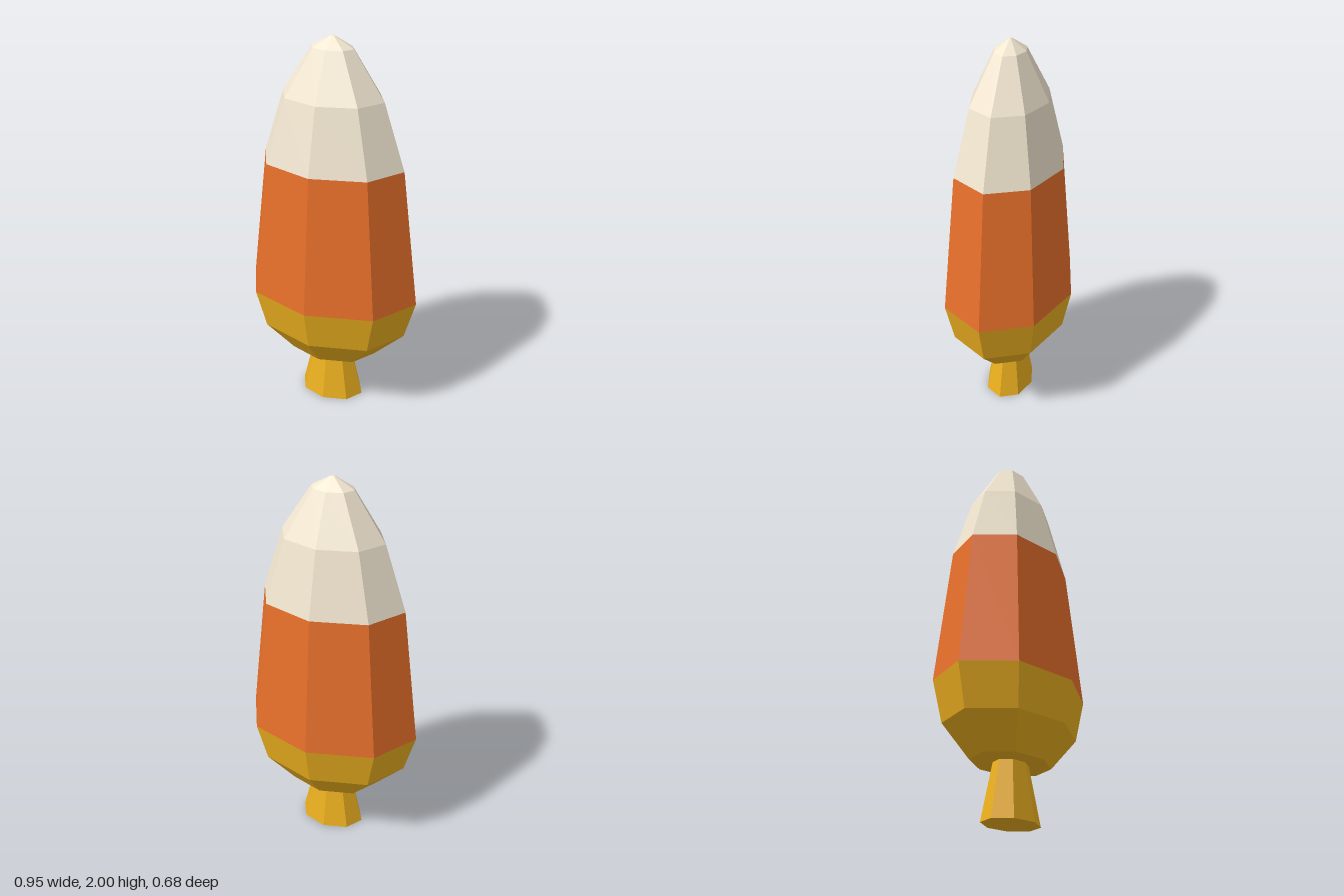
import * as THREE from 'three';

const SIDES = 8;
const DEPTH = 0.715; // cross-sections are flattened front to back

// Faceted band of revolution from [radius, height] pairs, bottom to top
function band(name, color, profile) {
  const points = profile.map(([r, y]) => new THREE.Vector2(r, y));
  const geometry = new THREE.LatheGeometry(points, SIDES);
  geometry.scale(1, 1, DEPTH);
  const material = new THREE.MeshStandardMaterial({ color, flatShading: true });
  const mesh = new THREE.Mesh(geometry, material);
  mesh.name = name;
  return mesh;
}

export function createModel() {
  const yellow = 0xecb01f, orange = 0xe8702b, cream = 0xf2e6d0;
  const group = new THREE.Group();
  group.name = 'candyCornTree';
  group.add(
    // flared trunk with a closed foot
    band('trunk', yellow, [[0, 0], [0.18, 0], [0.11, 0.29]]),
    // rounded underside of the crown
    band('lowerCrown', yellow, [[0, 0.29], [0.25, 0.29], [0.415, 0.45], [0.475, 0.66]]),
    band('middleCrown', orange, [[0.475, 0.66], [0.382, 1.38]]),
    // domed tip with a tiny flat top
    band('upperCrown', cream, [[0.382, 1.38], [0.27, 1.71], [0.11, 1.945], [0.01, 2], [0, 2]])
  );
  return group;
}
